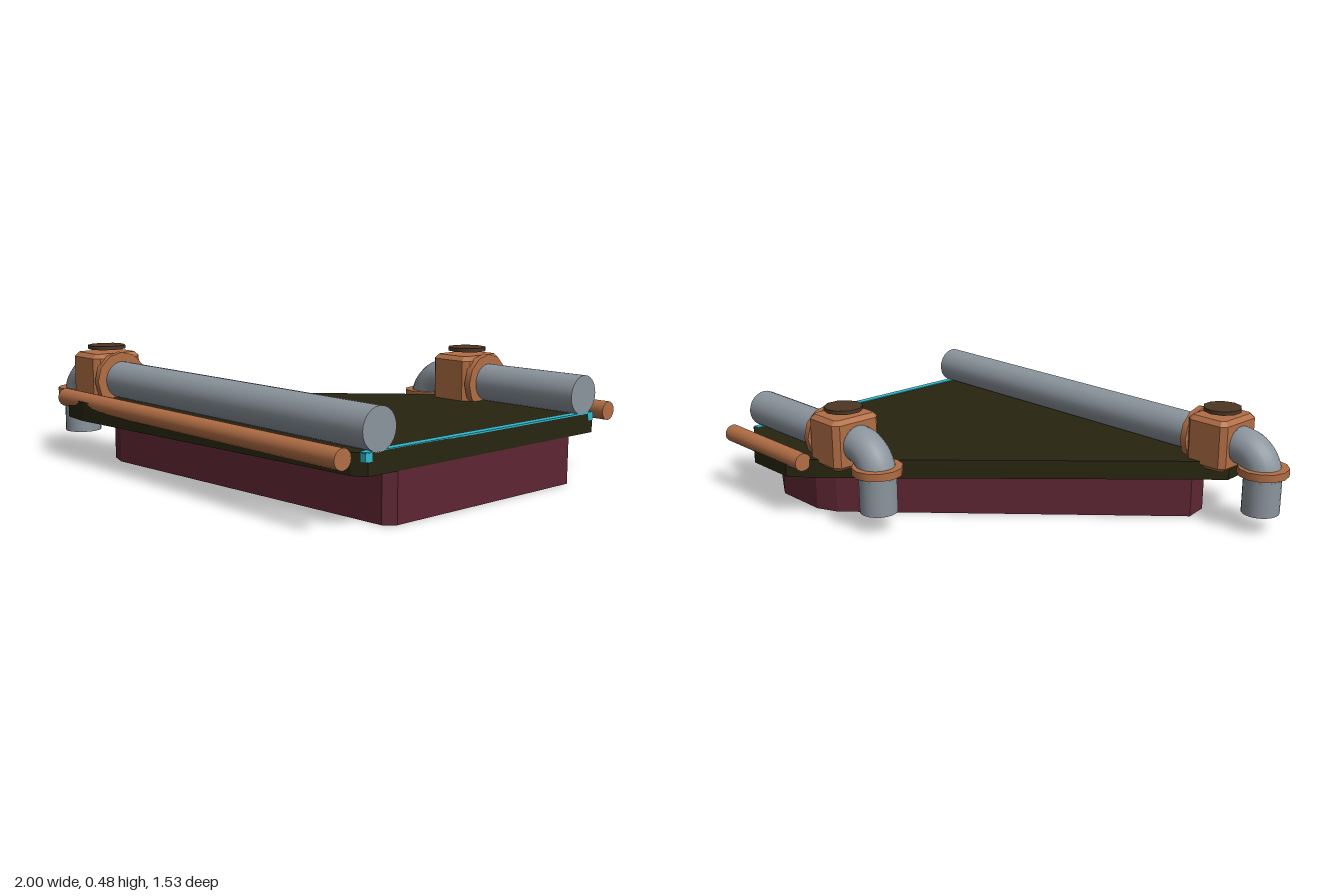
import * as THREE from 'three';

const mat = (name, color, flat = false) => {
  const m = new THREE.MeshStandardMaterial({ color, flatShading: flat });
  m.name = name;
  return m;
};

export function createModel() {
  const group = new THREE.Group();
  const steel = mat('steel', 0x8c959e);
  const copper = mat('copper', 0xb26e45);
  const capBrown = mat('darkBrown', 0x4d3524);
  const olive = mat('darkOlive', 0x27250f);
  const maroon = mat('maroon', 0x5e2633);
  const cyan = mat('cyan', 0x2fb9d0);

  const add = (parent, name, geo, material, x = 0, y = 0, z = 0) => {
    const mesh = new THREE.Mesh(geo, material);
    mesh.name = name;
    mesh.position.set(x, y, z);
    parent.add(mesh);
    return mesh;
  };

  // Horizontal slab from an outline of [x, z] points
  const slab = (points, height) => {
    const shape = new THREE.Shape(points.map(([x, z]) => new THREE.Vector2(x, -z)));
    return new THREE.ExtrudeGeometry(shape, { depth: height, bevelEnabled: false }).rotateX(-Math.PI / 2);
  };
  // Cylinder lying along x between two ends
  const rod = (x0, x1, r, sides = 24) =>
    new THREE.CylinderGeometry(r, r, x1 - x0, sides).rotateZ(Math.PI / 2).translate((x0 + x1) / 2, 0, 0);

  // Lower body and overhanging deck
  add(group, 'lowerBody', slab([
    [-0.61, 0.47], [-0.59, 0.58], [-0.5, 0.61], [0.965, 0.51], [1, 0.47],
    [1, -0.47], [0.97, -0.51], [0.8, -0.61], [0.55, -0.61], [0.46, -0.57],
  ], 0.186), maroon);
  add(group, 'deck', slab([
    [-0.75, 0.53], [-0.74, 0.69], [-0.68, 0.75], [-0.55, 0.763], [0.95, 0.64], [1, 0.61],
    [1, -0.62], [0.97, -0.64], [0.78, -0.76], [0.54, -0.76], [0.44, -0.68],
  ], 0.08), olive, 0, 0.186, 0);

  // Edge strip across the open end, with its end blocks
  add(group, 'edgeStrip', new THREE.BoxGeometry(0.032, 0.006, 1.24), cyan, 0.984, 0.266, 0);
  for (const s of [1, -1])
    add(group, 'stripEnd', new THREE.BoxGeometry(0.032, 0.03, 0.032), cyan, 0.985, 0.25, s * 0.607);

  // Side rails
  add(group, 'frontRail', rod(-0.75, 1, 0.038, 16), copper, 0, 0.26, 0.722);
  add(group, 'backRail', rod(0.46, 1, 0.038, 16), copper, 0, 0.26, -0.727);

  // Chamfered valve block, centred on its footprint and rising from y = 0
  const blockGeo = (w, h, d, c) => {
    const x = w / 2 - c, z = d / 2 - c, k = 0.012;
    const shape = new THREE.Shape([
      [x, z - k], [x - k, z], [k - x, z], [-x, z - k],
      [-x, k - z], [k - x, -z], [x - k, -z], [x, k - z],
    ].map(([a, b]) => new THREE.Vector2(a, b)));
    return new THREE.ExtrudeGeometry(shape, {
      depth: h - 2 * c, bevelEnabled: true, bevelSize: c, bevelThickness: c, bevelSegments: 1,
    }).rotateX(-Math.PI / 2).translate(0, c, 0);
  };

  // Pipe with valve, elbow and collar; valveX is the block centre
  const pipeline = (name, valveX, z) => {
    const g = new THREE.Group();
    g.name = name;
    g.position.set(valveX, 0, z);
    const r = 0.078, y = 0.34, bend = 0.115, startX = -0.1;
    add(g, 'pipe', rod(startX, 1 - valveX, r), steel, 0, y, 0);

    // Quarter bend down to the outlet
    const elbow = new THREE.TorusGeometry(bend, r, 20, 12, Math.PI / 2).rotateZ(Math.PI / 2);
    add(g, 'elbow', elbow, steel, startX, y - bend, 0);
    add(g, 'outlet', new THREE.CylinderGeometry(r, r, 0.147, 24), steel, startX - bend, 0.1535, 0);
    add(g, 'outletCollar', new THREE.CylinderGeometry(0.105, 0.105, 0.032, 12), copper, startX - bend, 0.259, 0);

    // Valve block, side flange and loose cap
    add(g, 'valveBlock', blockGeo(0.195, 0.215, 0.228, 0.018), copper, 0, 0.236, 0);
    add(g, 'valveFlange', rod(0.092, 0.12, 0.118, 12), copper, 0, y, 0);
    add(g, 'valveCap', new THREE.CylinderGeometry(0.08, 0.08, 0.016, 10), capBrown, 0, 0.472, 0);
    group.add(g);
  };
  pipeline('frontPipeline', -0.68, 0.557);
  pipeline('backPipeline', 0.4, -0.557);

  return group;
}
